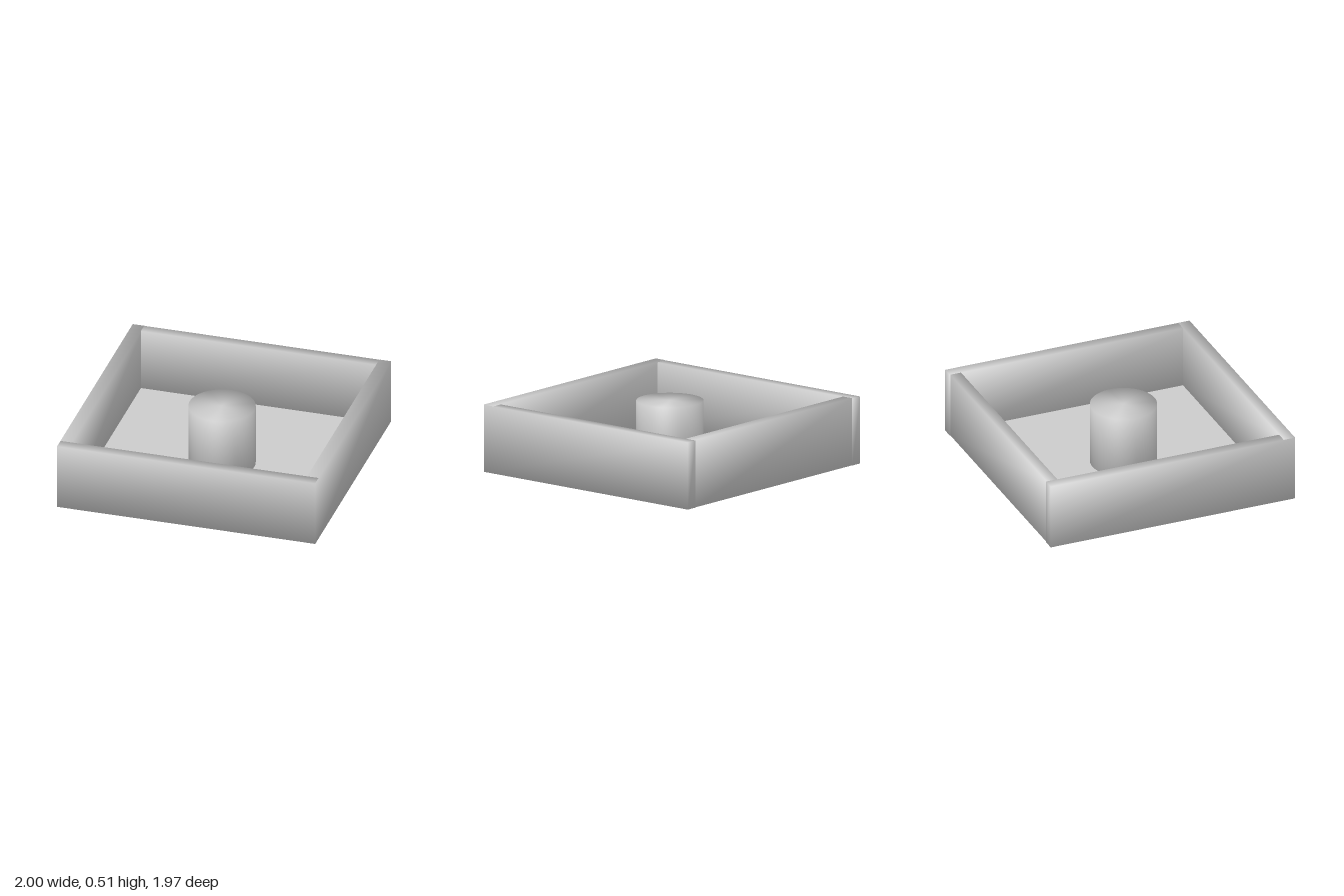
import * as THREE from 'three';

const material = new THREE.MeshStandardMaterial({ color: 0xcccccc });

function addPart(group, name, geometry) {
  const mesh = new THREE.Mesh(geometry, material);
  mesh.name = name;
  group.add(mesh);
  return mesh;
}

// Box from min/max corners; soft boxes share one diagonal normal per corner
function boxBetween([x0, y0, z0], [x1, y1, z1], soft) {
  const geometry = new THREE.BoxGeometry(x1 - x0, y1 - y0, z1 - z0);
  if (soft) {
    const p = geometry.attributes.position;
    const n = geometry.attributes.normal;
    const k = 1 / Math.sqrt(3);
    for (let i = 0; i < p.count; i++) {
      n.setXYZ(i, Math.sign(p.getX(i)) * k, Math.sign(p.getY(i)) * k, Math.sign(p.getZ(i)) * k);
    }
  }
  return geometry.translate((x0 + x1) / 2, (y0 + y1) / 2, (z0 + z1) / 2);
}

export function createModel() {
  const group = new THREE.Group();
  group.name = 'squareBasin';
  const height = 0.512;

  // Side walls run the full depth
  addPart(group, 'rightWall', boxBetween([-1, 0, -0.985], [-0.91, height - 0.002, 0.982], true));
  addPart(group, 'leftWall', boxBetween([0.91, 0, -0.985], [1, height - 0.002, 0.982], true));

  // Front wall overlaps the side walls; back wall sits between them
  addPart(group, 'frontWall', boxBetween([-0.998, 0.001, 0.895], [0.998, height, 0.985], true));
  addPart(group, 'backWall', boxBetween([-0.91, 0, -0.98], [0.91, height, -0.895], true));

  // Thin floor, slightly above the bottom rim
  addPart(group, 'floor', boxBetween([-0.91, 0.018, -0.9], [0.91, 0.03, 0.9], false));

  // Solid central post, shaded softly over its rims
  const r = 0.25;
  const bottom = 0.012;
  const top = 0.508;
  const profile = [[0, bottom], [r, bottom], [r, top], [0, top]];
  const post = addPart(group, 'centralPost',
    new THREE.LatheGeometry(profile.map(([x, y]) => new THREE.Vector2(x, y)), 64));
  post.position.set(-0.007, 0, 0.025);

  return group;
}
